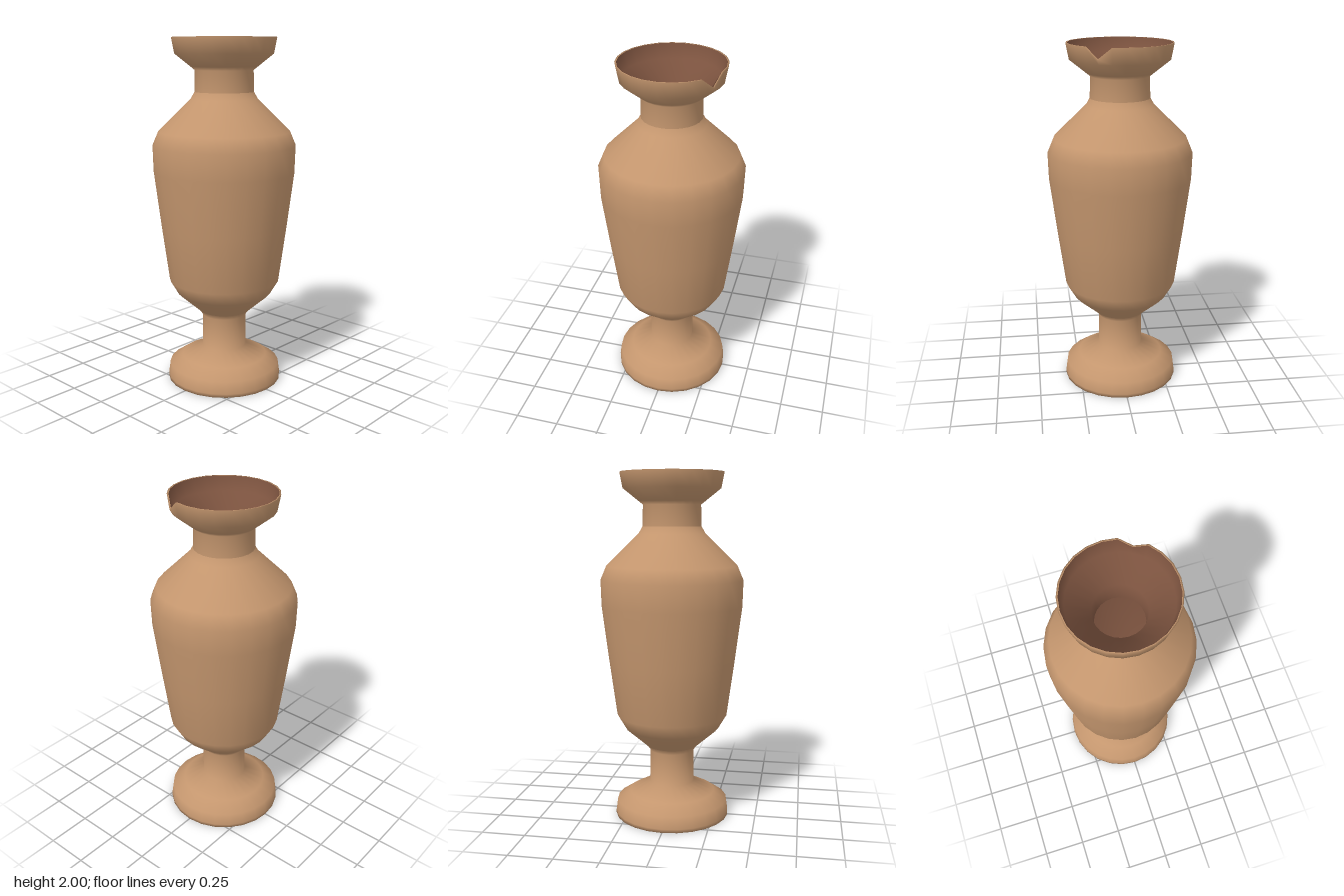
import * as THREE from 'three';

const SIDES = 24;
const clay = new THREE.MeshStandardMaterial({ color: 0xc4966e });
clay.name = 'tan clay';
const inside = new THREE.MeshStandardMaterial({ color: 0x7c533f });
inside.name = 'brown lining';
const floorColor = new THREE.MeshStandardMaterial({ color: 0x786a4c });
floorColor.name = 'olive floor';

// Turned part from [radius, height] pairs; rising profiles face out, falling ones face in
function turned(name, profile, material) {
  const geo = new THREE.LatheGeometry(profile.map(([r, y]) => new THREE.Vector2(r, y)), SIDES);
  const mesh = new THREE.Mesh(geo, material);
  mesh.name = name;
  return mesh;
}

// Small chip in the lip at the back
function chip(mesh) {
  const pos = mesh.geometry.attributes.position;
  for (let i = 0; i < pos.count; i++) {
    const angle = Math.atan2(pos.getX(i), pos.getZ(i));
    if (pos.getY(i) > 1.98 && Math.abs(angle - Math.PI * 5 / 6) < 0.05) pos.setY(i, 1.94);
  }
}

function disc(name, radius, y, up) {
  const mesh = new THREE.Mesh(new THREE.CircleGeometry(radius, SIDES), floorColor);
  mesh.name = name;
  mesh.rotation.x = up ? -Math.PI / 2 : Math.PI / 2;
  mesh.position.y = y;
  return mesh;
}

export function createModel() {
  const vase = new THREE.Group();
  vase.name = 'vase';

  // Foot and stem
  vase.add(turned('foot', [[0.30, 0], [0.335, 0], [0.335, 0.02], [0.325, 0.09], [0.25, 0.14],
    [0.13, 0.20], [0.128, 0.39], [0.15, 0.42]], clay));

  // Belly and shoulder
  vase.add(turned('body', [[0.15, 0.42], [0.275, 0.53], [0.322, 0.61], [0.365, 0.93], [0.405, 1.25],
    [0.409, 1.40], [0.375, 1.48], [0.19, 1.66], [0.168, 1.70]], clay));

  // Neck and flared lip
  const mouth = turned('mouth', [[0.168, 1.70], [0.165, 1.82], [0.19, 1.84], [0.278, 1.91],
    [0.295, 2.0], [0.286, 2.0]], clay);
  chip(mouth);
  vase.add(mouth);

  // Inner lining
  const lining = turned('mouthLining', [[0.286, 2.0], [0.265, 1.92], [0.14, 1.82], [0.13, 1.70]], inside);
  chip(lining);
  vase.add(lining);
  vase.add(turned('bodyLining', [[0.13, 1.70], [0.36, 1.46], [0.39, 1.38], [0.385, 1.25],
    [0.30, 0.62], [0.14, 0.43]], inside));
  vase.add(disc('bodyFloor', 0.14, 0.43, true));

  // Hollow under the foot
  vase.add(turned('footLining', [[0.285, 0.08], [0.30, 0]], inside));
  vase.add(disc('footUnderside', 0.285, 0.08, false));

  return vase;
}
